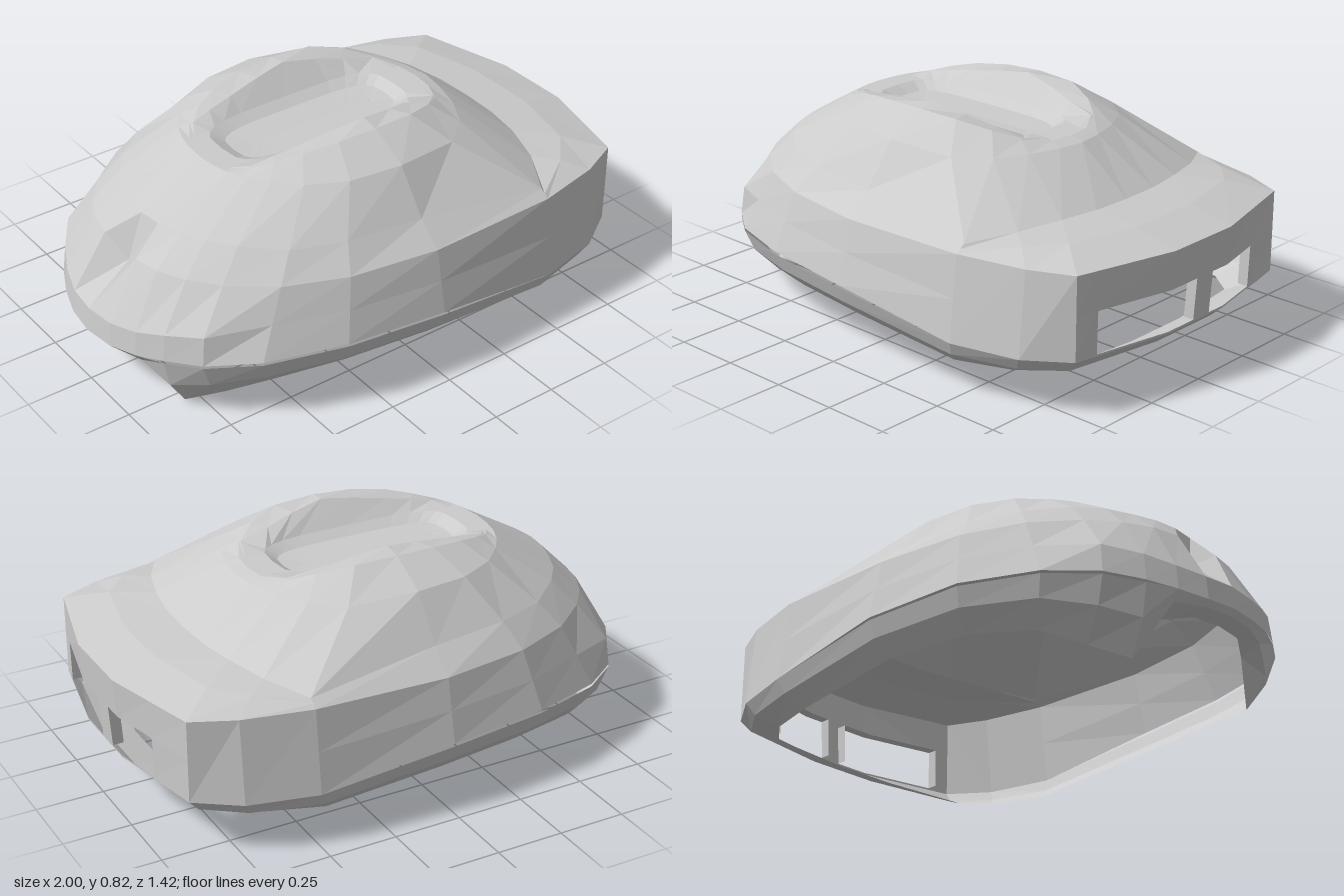
import * as THREE from 'three';

const material = new THREE.MeshStandardMaterial({ color: 0xcccccc, flatShading: true, side: THREE.DoubleSide });

// Half outlines in plan (x, z), from the tail (-x) round the side to the nose (+x)
const OUTLINE = [[-1, 0], [-0.985, 0.12], [-0.95, 0.23], [-0.9, 0.33], [-0.82, 0.45], [-0.66, 0.57], [-0.38, 0.67],
  [0, 0.71], [0.5, 0.69], [0.75, 0.63], [0.905, 0.53], [0.98, 0.15], [0.98, 0]];
const SHOULDER = [[-0.85, 0], [-0.85, 0.1], [-0.83, 0.2], [-0.78, 0.3], [-0.7, 0.4], [-0.55, 0.52], [-0.33, 0.61],
  [0, 0.66], [0.5, 0.655], [0.75, 0.6], [0.905, 0.53], [1, 0.15], [1, 0]];
const DOME_EDGE = [[-0.76, 0], [-0.75, 0.09], [-0.72, 0.18], [-0.68, 0.27], [-0.61, 0.36], [-0.48, 0.47], [-0.29, 0.54],
  [0, 0.57], [0.5, 0.62], [0.59, 0.46], [0.64, 0.3], [0.665, 0.15], [0.67, 0]];
const DOME_UPPER = [[-0.52, 0], [-0.515, 0.07], [-0.5, 0.14], [-0.47, 0.21], [-0.42, 0.28], [-0.34, 0.36], [-0.2, 0.43],
  [0, 0.455], [0.25, 0.42], [0.36, 0.33], [0.42, 0.22], [0.455, 0.1], [0.47, 0]];
const RIDGE_OUTER = [[-0.49, 0], [-0.49, 0.06], [-0.48, 0.12], [-0.44, 0.185], [-0.37, 0.23], [-0.28, 0.27], [-0.15, 0.3],
  [0, 0.31], [0.16, 0.3], [0.28, 0.25], [0.36, 0.19], [0.41, 0.09], [0.42, 0]];
const RIDGE_INNER = [[-0.46, 0], [-0.46, 0.06], [-0.46, 0.12], [-0.43, 0.175], [-0.35, 0.19], [-0.25, 0.205], [-0.12, 0.225],
  [0, 0.24], [0.13, 0.22], [0.24, 0.197], [0.36, 0.175], [0.385, 0.08], [0.39, 0]];
const SEAM_Y = [0.21, 0.21, 0.22, 0.235, 0.25, 0.265, 0.28, 0.27, 0.205, 0.205, 0.21, 0.21, 0.21];
const DOME_EDGE_Y = [0.6, 0.6, 0.6, 0.6, 0.6, 0.59, 0.59, 0.58, 0.535, 0.555, 0.565, 0.565, 0.565];
const SKIRT_Y = [0.17, 0.17, 0.15, 0, 0.05, 0.11, 0.14, 0.14, 0.1, 0.11, 0.115, 0.125, 0.125];
const SKIRT_SCALE = [0.93, 0.93, 0.9, 0.89, 0.85, 0.86, 0.87, 0.88, 0.88, 0.87, 0.84, 0.83, 0.83];
const JOINT = 8, CORNER = 10, LAST = 12;

const ring = (plan, y) => plan.map(([x, z], i) => [x, y(i, z), z]);
const mix = (a, b, t) => a.map((v, k) => v + (b[k] - v) * t);

// Half of an oval ring with squarish ends
function oval(x0, x1, zHalf, y) {
  return OUTLINE.map((_, i) => {
    const t = (i / LAST) * Math.PI, c = Math.cos(t), s = Math.max(0, Math.sin(t));
    const x = (x0 + x1) / 2 - ((x1 - x0) / 2) * Math.sign(c) * Math.sqrt(Math.abs(c));
    return [x, y, zHalf * Math.sqrt(s)];
  });
}

function meshFrom(name, positions) {
  const g = new THREE.BufferGeometry();
  g.setAttribute('position', new THREE.Float32BufferAttribute(positions, 3));
  g.computeVertexNormals();
  const mesh = new THREE.Mesh(g, material);
  mesh.name = name;
  return mesh;
}

const pushQuad = (out, a, b, c, d) => out.push(...a, ...b, ...c, ...a, ...c, ...d);

// Skin stacked half rings between two columns, and mirror across z
function loft(out, rings, from = 0, to = LAST) {
  const flip = ([x, y, z]) => [x, y, -z];
  for (let k = 0; k < rings.length - 1; k++) {
    for (let i = from; i < to; i++) {
      const [a, b, c, d] = [rings[k][i], rings[k][i + 1], rings[k + 1][i + 1], rings[k + 1][i]];
      pushQuad(out, a, b, c, d);
      pushQuad(out, flip(b), flip(a), flip(d), flip(c));
    }
  }
  return out;
}

// Bent front panel with two windows
function frontPanel() {
  const out = [];
  const zs = [-0.53, -0.34, -0.15, -0.07, 0.015, 0.15, 0.445, 0.53], ys = [0.21, 0.217, 0.37, 0.51];
  const point = (y, z, depth = 0) => {
    const bend = Math.max(0, Math.abs(z) - 0.15) / 0.38;
    const lean = 0.02 * (1 - bend) * ((0.51 - y) / 0.3);
    return [1 - 0.095 * bend - lean - depth, y, z];
  };
  const isOpen = (i, j) => j === 1 && [1, 2, 4, 5].includes(i);
  for (let i = 0; i < zs.length - 1; i++) {
    for (let j = 0; j < ys.length - 1; j++) {
      const [z0, z1, y0, y1] = [zs[i], zs[i + 1], ys[j], ys[j + 1]];
      if (!isOpen(i, j)) {
        pushQuad(out, point(y0, z1), point(y0, z0), point(y1, z0), point(y1, z1));
        continue;
      }
      // Window reveals
      const reveal = (ya, za, yb, zb) =>
        pushQuad(out, point(ya, za), point(yb, zb), point(yb, zb, 0.04), point(ya, za, 0.04));
      reveal(y1, z1, y1, z0);
      if (!isOpen(i - 1, j)) reveal(y1, z0, y0, z0);
      if (!isOpen(i + 1, j)) reveal(y0, z1, y1, z1);
    }
  }
  return meshFrom('frontPanel', out);
}

export function createModel() {
  const model = new THREE.Group();
  model.name = 'shell';

  // Side wall rings: upright at the tail, with a dimple pressed in above
  const base = ring(OUTLINE, (i) => SEAM_Y[i]);
  const shoulder = ring(SHOULDER, (i) => (i < JOINT ? 0.5 : 0.51));
  const middle = base.map((p, i) => mix(p, shoulder[i], [0.3, 0.3, 0.32, 0.37, 0.42][i] ?? 0.5))
    .map(([x, y, z], i) => (i < 5 ? [mix([x], [OUTLINE[i][0]], 0.75)[0], y, mix([z], [OUTLINE[i][1]], 0.6)[0]] : [x, y, z]));
  shoulder[0] = [-0.82, 0.43, 0];
  const domeEdge = ring(DOME_EDGE, (i) => DOME_EDGE_Y[i]);

  // Upper dome, rising to two ridges beside a sunken slot
  const ridge = ring(RIDGE_INNER, (i, z) => 0.735 + Math.max(0, z - 0.16) * 1.06);
  const upper = [
    domeEdge,
    ring(DOME_UPPER, (i) => (i < JOINT ? 0.735 : 0.72)),
    ring(RIDGE_OUTER, (i, z) => 0.735 + Math.max(0, z - 0.16) * 0.5),
    ridge,
  ];
  const slot = [
    ridge,
    oval(-0.43, 0.32, 0.155, 0.735),
    oval(-0.38, 0.28, 0.115, 0.71),
    oval(-0.3, 0.2, 0, 0.705),
  ];
  const walls = loft([], [base, middle, shoulder, domeEdge], 0, JOINT);
  model.add(meshFrom('body', loft(walls, upper)));
  model.add(meshFrom('topSlot', loft([], slot)));

  // Collar: side walls and the slightly crowned shelf running round the nose
  const crown = domeEdge.map((p, i) => {
    const [x, y, z] = mix(p, shoulder[i], 0.5);
    return [x, y + (i > JOINT ? 0.012 : 0), z];
  });
  const collar = loft([], [base, shoulder], JOINT, CORNER);
  model.add(meshFrom('collar', loft(collar, [shoulder, crown, domeEdge], JOINT, LAST)));
  model.add(frontPanel());

  // Open skirt with a thin seam along the sides, dropping to two feet near the tail
  const top = base.map(([x, y, z], i) => [x, y - (i > 2 && i < JOINT ? 0.01 : 0), z]);
  const bottom = OUTLINE.map(([x, z], i) => [x * SKIRT_SCALE[i], SKIRT_Y[i], z * Math.max(0.87, SKIRT_SCALE[i])]);
  const waist = top.map((p, i) => {
    const [x, , z] = mix(p, bottom[i], 0.28);
    return [x, (p[1] + bottom[i][1]) / 2, z];
  });
  model.add(meshFrom('skirt', loft([], [bottom, waist, top])));

  return model;
}
